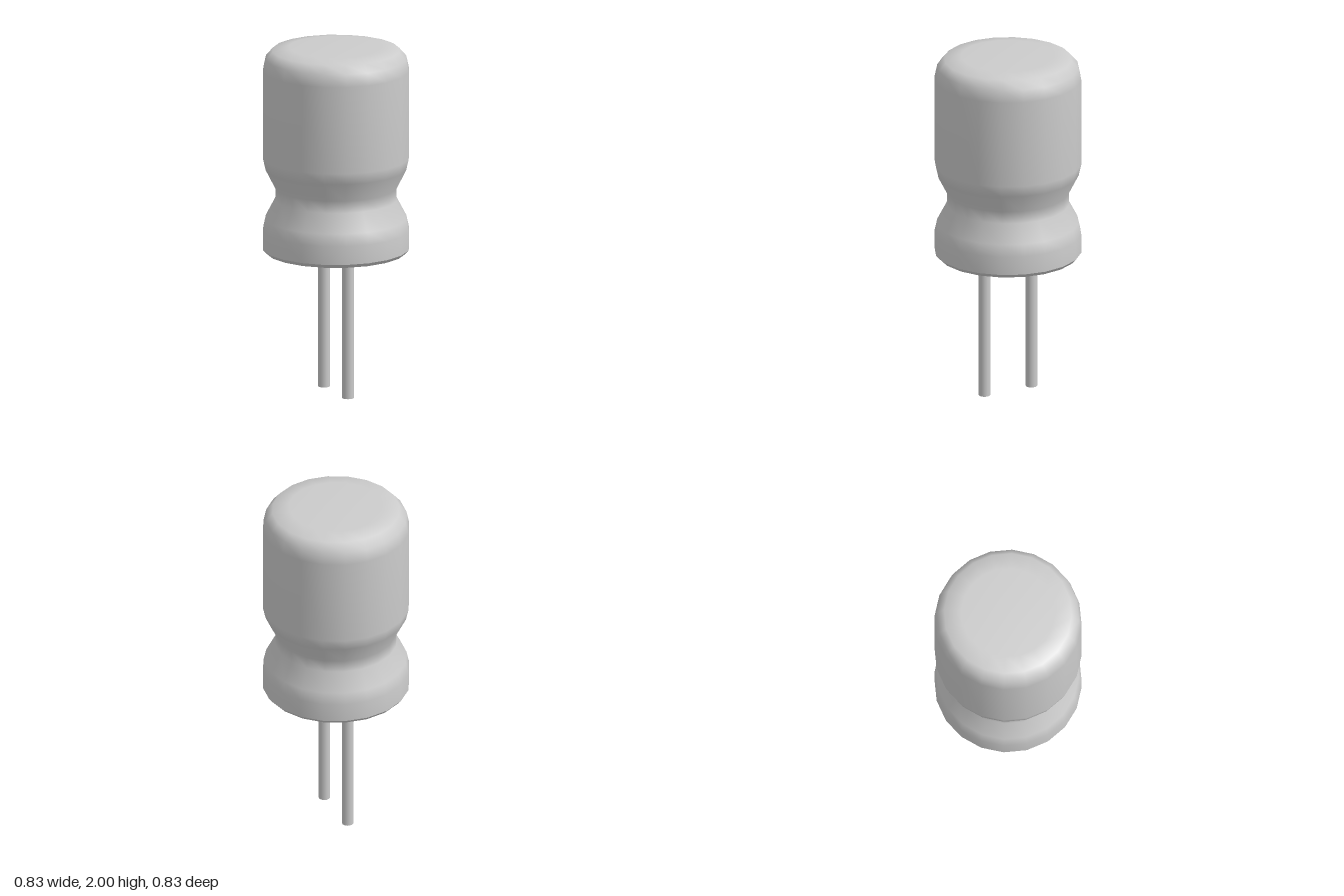
import * as THREE from 'three';

const SIDES = 20;

export function createModel() {
  const model = new THREE.Group();
  model.name = 'radialCapacitor';
  const grey = new THREE.MeshStandardMaterial({ color: 0xcccccc });
  const openGrey = new THREE.MeshStandardMaterial({ color: 0xcccccc, side: THREE.DoubleSide });

  // Turned surface from [radius, height] pairs, listed bottom to top
  const turned = (name, profile) => {
    const points = profile.map(([r, y]) => new THREE.Vector2(r, y));
    const mesh = new THREE.Mesh(new THREE.LatheGeometry(points, SIDES), grey);
    mesh.name = name;
    model.add(mesh);
  };

  // Can: crimped neck, straight wall and rounded top, shaded smooth
  turned('can', [
    [0.415, 0.838], [0.415, 0.945], [0.4, 1.013], [0.344, 1.12],
    [0.344, 1.19], [0.4, 1.3], [0.415, 1.365], [0.415, 1.867],
    [0.4, 1.937], [0.36, 1.983], [0.265, 2], [0, 2],
  ]);

  // Bottom bevel and flat base, kept separate for sharp edges
  turned('bottomBevel', [[0.397, 0.817], [0.415, 0.838]]);
  turned('base', [[0, 0.817], [0.397, 0.817]]);

  // Two wire leads, open at the ends
  const leadGeometry = new THREE.CylinderGeometry(0.033, 0.033, 0.82, 12, 1, true);
  for (const [name, z] of [['frontLead', 0.153], ['backLead', -0.153]]) {
    const lead = new THREE.Mesh(leadGeometry, openGrey);
    lead.name = name;
    lead.position.set(0, 0.41, z);
    model.add(lead);
  }

  return model;
}
